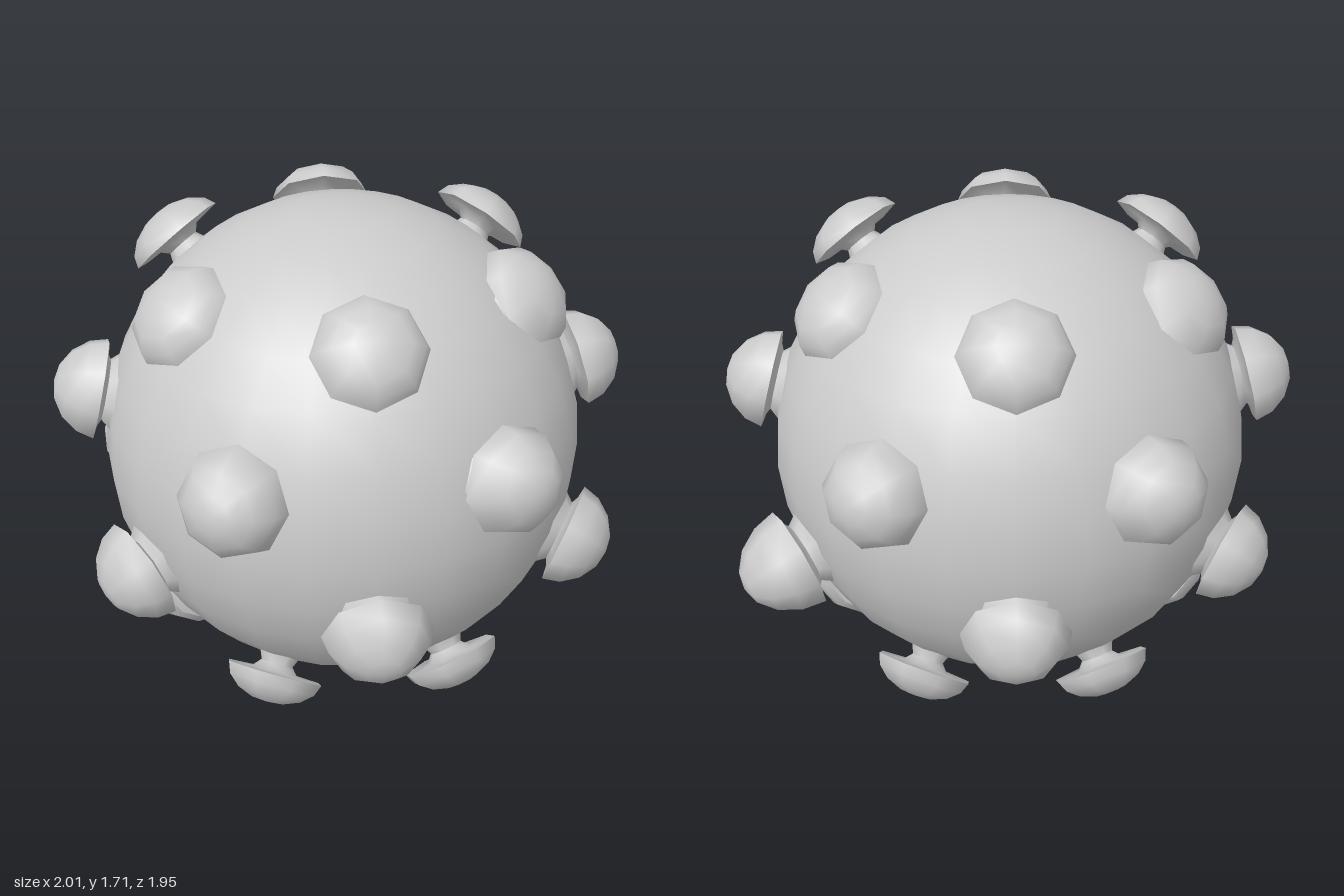
import * as THREE from 'three';
import { toCreasedNormals } from 'three/addons/utils/BufferGeometryUtils.js';

const material = new THREE.MeshStandardMaterial({ color: 0xcccccc });

// Eight-sided mushroom knob along +y; heights are distances from the ball's centre.
function knobGeometry(rim, tip, neck) {
  const h = tip - rim;
  const profile = [
    [neck + 0.05, 0.8], [neck + 0.015, 0.84], [neck, (0.84 + rim) / 2],
    [neck + 0.025, rim - 0.006], [0.18, rim],
    [0.163, rim + h * 0.38], [0.12, rim + h * 0.72], [0.06, rim + h * 0.94], [0, tip],
  ].map(([r, y]) => new THREE.Vector2(r, y));
  return toCreasedNormals(new THREE.LatheGeometry(profile, 8), 1.1);
}

export function createModel() {
  const model = new THREE.Group();
  model.name = 'knobbedBall';
  model.position.set(-0.035, 0.858, 0);

  // Central ball
  const ball = new THREE.Mesh(new THREE.SphereGeometry(0.845, 24, 16), material);
  ball.scale.y = 1.014;
  ball.name = 'ball';
  model.add(ball);

  // Four staggered rings of six knobs
  const flat = knobGeometry(0.905, 1.01, 0.06);
  const tall = knobGeometry(0.875, 1.035, 0.11);
  const tallest = knobGeometry(0.885, 1.1, 0.11);
  const rings = [
    { name: 'topKnob', elevation: 46, start: 15, geometry: flat },
    { name: 'upperKnob', elevation: 15.5, start: 45, geometry: tall },
    { name: 'lowerKnob', elevation: -15.5, start: 15, geometry: tall },
    { name: 'bottomKnob', elevation: -46, start: 45, geometry: flat },
  ];
  for (const { name, elevation, start, geometry } of rings) {
    for (let i = 0; i < 6; i++) {
      // One lower knob stands out further than the rest
      const shape = name === 'lowerKnob' && i === 0 ? tallest : geometry;
      const knob = new THREE.Mesh(shape, material);
      knob.name = name + (i + 1);
      knob.rotation.order = 'YZX';
      knob.rotation.y = -THREE.MathUtils.degToRad(start + i * 60);
      knob.rotation.z = THREE.MathUtils.degToRad(elevation - 90);
      model.add(knob);
    }
  }

  const root = new THREE.Group();
  root.add(model);
  return root;
}
